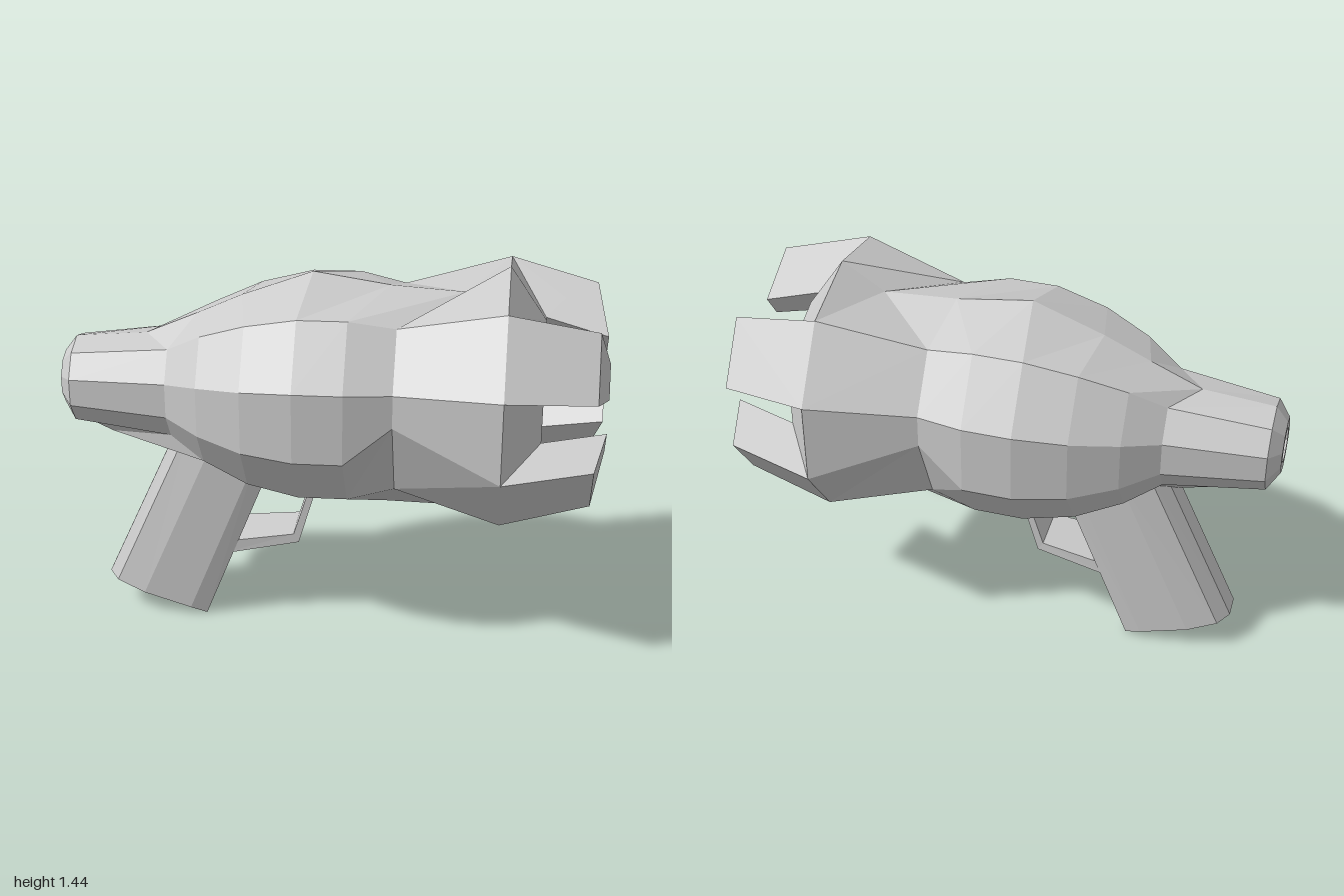
import * as THREE from 'three';

const material = new THREE.MeshStandardMaterial({ color: 0xcccccc, flatShading: true });
const rad = THREE.MathUtils.degToRad;

// Point on the barrel section: station x, centre height, radius, angle in degrees
const polar = (x, cy, r, deg) => [x, cy + r * Math.sin(rad(deg)), r * Math.cos(rad(deg))];

// Skin closed rings of equal length; a ring of one repeated point closes an end
function loft(rings) {
  const out = [];
  const n = rings[0].length;
  for (let i = 0; i < rings.length - 1; i++) {
    for (let j = 0; j < n; j++) {
      const k = (j + 1) % n;
      const [a, b, c, d] = [rings[i][j], rings[i + 1][j], rings[i + 1][k], rings[i][k]];
      for (const tri of [[a, b, c], [a, c, d]]) {
        const area = new THREE.Triangle(...tri.map((p) => new THREE.Vector3(...p))).getArea();
        if (area > 1e-7) out.push(...tri.flat());
      }
    }
  }
  const g = new THREE.BufferGeometry();
  g.setAttribute('position', new THREE.Float32BufferAttribute(out, 3));
  g.computeVertexNormals();
  return g;
}

const pointRing = (p, n) => Array(n).fill(p);
const centre = (ring) => [0, 1, 2].map((k) => ring.reduce((s, p) => s + p[k], 0) / ring.length);
const capped = (rings) => {
  const n = rings[0].length;
  const last = rings[rings.length - 1];
  return loft([pointRing(centre(rings[0]), n), ...rings, pointRing(centre(last), n)]);
};

function add(group, name, geometry) {
  const mesh = new THREE.Mesh(geometry, material);
  mesh.name = name;
  group.add(mesh);
  return mesh;
}

// Ten-sided body: x, centre y, radius, optional [x, y] of the top and bottom ridge points
function bodyGeometry() {
  const stations = [
    [-0.88, 0.94, 0],
    [-0.9, 0.94, 0.06], // rear bore
    [-1, 0.94, 0.065],
    [-1, 0.94, 0.1],
    [-0.955, 0.935, 0.165],
    [-0.59, 0.94, 0.212, [-0.69, 1.125], [-0.84, 0.715]],
    [-0.46, 0.943, 0.305, [-0.5, 1.21], [-0.5, 0.635]],
    [-0.29, 0.945, 0.385, [-0.33, 1.29], [-0.24, 0.53]],
    [-0.1, 0.952, 0.43, [-0.07, 1.39], [-0.07, 0.5]],
    [0.08, 0.955, 0.43, [0.21, 1.35], [0.2, 0.477]],
    [0.25, 0.96, 0.387, [0.48, 1.335], [0.45, 0.475]],
    [0.635, 0.963, 0.502, [0.635, 1.438], [0.635, 0.463]],
    [0.77, 0.963, 0.275], // muzzle rim
    [0.68, 0.963, 0], // dish bottom
  ];
  return loft(stations.map(([x, cy, r, top, bottom]) => {
    const ring = Array.from({ length: 10 }, (_, j) => polar(x, cy, r, -90 + 36 * j));
    if (top) ring[5] = [...top, 0];
    if (bottom) ring[0] = [...bottom, 0];
    // Pinched waist on the lower flank
    if (x === 0.25) for (const j of [2, 8]) ring[j][1] = 0.955;
    return ring;
  }));
}

// Claw prong spanning one body facet
function prongGeometry(startAngle) {
  const profile = [[1, 0.212], [0.955, 0.415], [0.635, 0.502], [0.77, 0.275]];
  return capped([startAngle, startAngle + 36].map((deg) =>
    profile.map(([x, r]) => polar(x, 0.963, r, deg))));
}

// Raked grip with chamfered corners and a slightly bulging base
function gripGeometry() {
  const half = [
    [-0.48, 0, 0.11],
    [-0.54, 0.03, 0.13],
    [-0.72, 0.085, 0.13],
    [-0.83, 0.118, 0.1],
    [-0.87, 0.127, 0.045],
  ];
  const base = [...half, ...half.map(([x, y, z]) => [x, y, -z]).reverse()];
  const top = base.map(([x, y, z]) => [x + 0.27 + 0.1 * (-0.48 - x), y + 0.68, z]);
  return loft([
    pointRing([-0.69, 0.028, 0], base.length),
    base,
    top,
    pointRing(centre(top), base.length),
  ]);
}

// L-shaped trigger guard, widening toward the grip
function guardGeometry() {
  const shape = new THREE.Shape([
    [-0.42, 0.265], [-0.12, 0.325], [-0.04, 0.6],
    [-0.065, 0.6], [-0.14, 0.358], [-0.42, 0.318],
  ].map((p) => new THREE.Vector2(...p)));
  const g = new THREE.ExtrudeGeometry(shape, { depth: 0.18, bevelEnabled: false });
  g.translate(0, 0, -0.09);
  const p = g.attributes.position;
  for (let i = 0; i < p.count; i++) if (p.getX(i) < -0.3) p.setZ(i, p.getZ(i) * 1.22);
  g.computeVertexNormals();
  return g;
}

export function createModel() {
  const model = new THREE.Group();
  model.name = 'toyBlaster';
  add(model, 'body', bodyGeometry());
  const prongs = new THREE.Group();
  prongs.name = 'muzzleProngs';
  for (const angle of [18, 126, 198, 306]) add(prongs, 'prong', prongGeometry(angle));
  model.add(prongs);
  add(model, 'grip', gripGeometry());
  add(model, 'triggerGuard', guardGeometry());
  return model;
}
